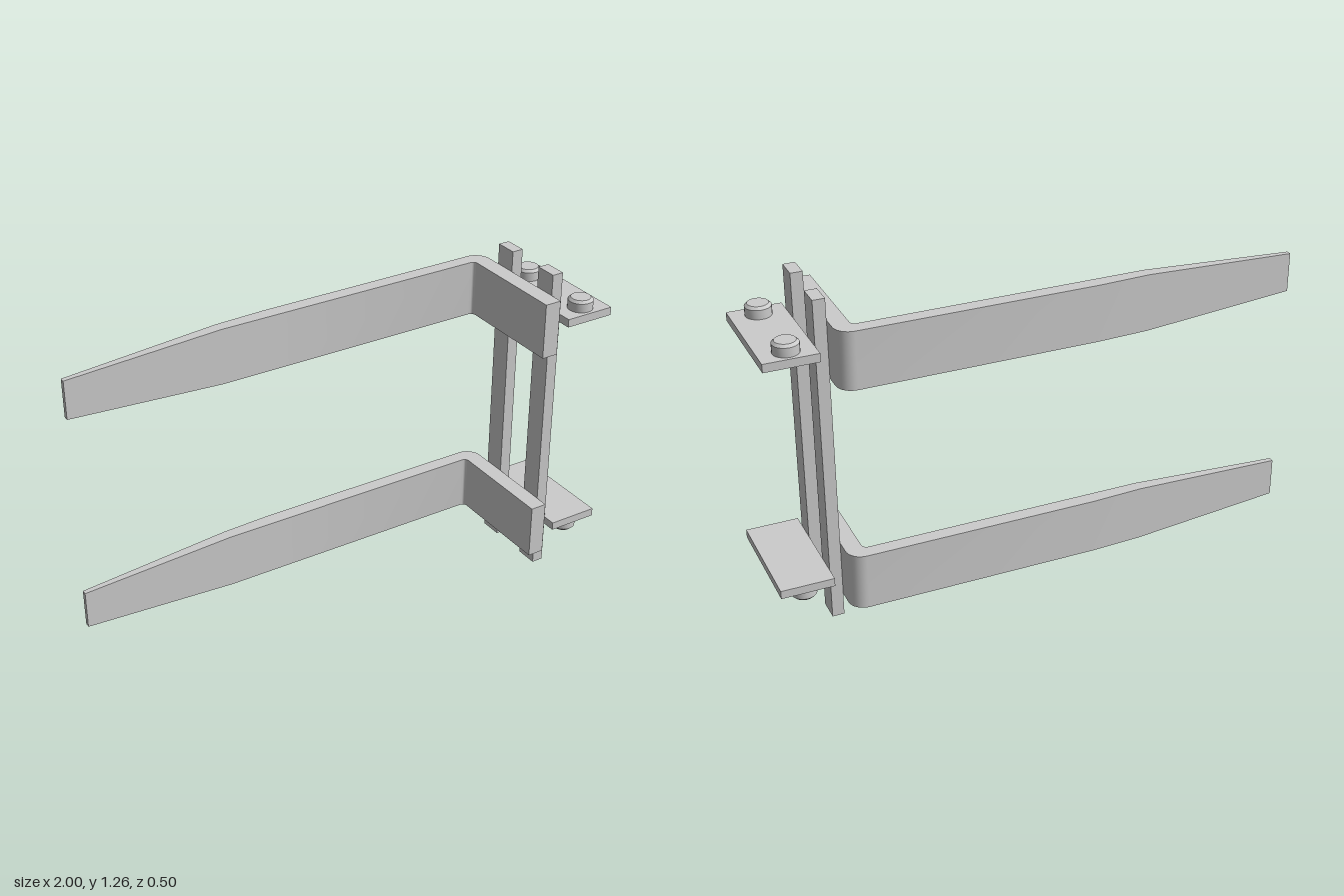
import * as THREE from 'three';
import { toCreasedNormals } from 'three/addons/utils/BufferGeometryUtils.js';

const material = new THREE.MeshStandardMaterial({ color: 0xcccccc });

function addMesh(parent, name, geometry, x, y, z) {
  const mesh = new THREE.Mesh(geometry, material);
  mesh.name = name;
  mesh.position.set(x, y, z);
  parent.add(mesh);
  return mesh;
}

// Tapered blade bent into an upright shank, lofted through rectangular sections
function forkGeometry() {
  // each station: outer x, outer z, inner x, inner z, half height
  const stations = [
    [-1, -0.215, -1, -0.195, 0.075],
    [-0.4, -0.241, -0.4, -0.195, 0.109],
    [-0.2, -0.25, -0.2, -0.195, 0.109],
  ];
  const steps = 8;
  for (let i = 0; i <= steps; i++) {
    const a = (i / steps) * Math.PI / 2;
    const s = Math.sin(a), c = Math.cos(a);
    stations.push([0.695 + 0.06 * s, -0.19 - 0.06 * c, 0.67 + 0.02 * s, -0.175 - 0.02 * c, 0.109]);
  }
  stations.push([0.755, 0.25, 0.69, 0.25, 0.109]);

  const positions = [], indices = [];
  for (const [ox, oz, ix, iz, h] of stations) {
    positions.push(ox, h, oz, ox, -h, oz, ix, -h, iz, ix, h, iz);
  }
  const last = stations.length - 1;
  for (let i = 0; i < last; i++) {
    for (let k = 0; k < 4; k++) {
      const n = (k + 1) % 4;
      const a = i * 4 + k, b = a + 4, c = i * 4 + 4 + n, d = i * 4 + n;
      indices.push(a, b, c, a, c, d);
    }
  }
  const e = last * 4;
  indices.push(0, 1, 2, 0, 2, 3, e, e + 2, e + 1, e, e + 3, e + 2);

  const geometry = new THREE.BufferGeometry();
  geometry.setAttribute('position', new THREE.Float32BufferAttribute(positions, 3));
  geometry.setIndex(indices);
  return toCreasedNormals(geometry, 0.4);
}

// Round bolt head with a bevelled rim, standing on y = 0
function boltGeometry() {
  const profile = [[0, 0], [0.048, 0], [0.048, 0.036], [0.038, 0.046], [0, 0.046]];
  const lathe = new THREE.LatheGeometry(profile.map(([r, y]) => new THREE.Vector2(r, y)), 24);
  return toCreasedNormals(lathe, 0.5);
}

export function createModel() {
  const model = new THREE.Group();
  model.name = 'forkCarriage';

  // Upper and lower forks
  const fork = forkGeometry();
  addMesh(model, 'upperFork', fork, 0, 1.075, 0);
  addMesh(model, 'lowerFork', fork, 0, 0.196, 0);

  // Upright carriage bars
  const bar = new THREE.BoxGeometry(0.045, 1.265, 0.087);
  addMesh(model, 'frontBar', bar, 0.778, 0.6325, 0.153);
  addMesh(model, 'backBar', bar, 0.778, 0.6325, -0.09);

  // Mounting plates, each with two bolts facing away from the middle
  const plate = new THREE.BoxGeometry(0.2, 0.032, 0.44);
  const bolt = boltGeometry();
  for (const [name, y, out] of [['upper', 1.081, 1], ['lower', 0.186, -1]]) {
    const bracket = new THREE.Group();
    bracket.name = name + 'Bracket';
    bracket.position.y = y;
    addMesh(bracket, name + 'Plate', plate, 0.9, 0, 0.03);
    for (const z of [0.19, -0.13]) {
      const head = addMesh(bracket, name + 'Bolt', bolt, 0.9, out * 0.015, z);
      if (out < 0) head.rotation.x = Math.PI;
    }
    model.add(bracket);
  }
  return model;
}
